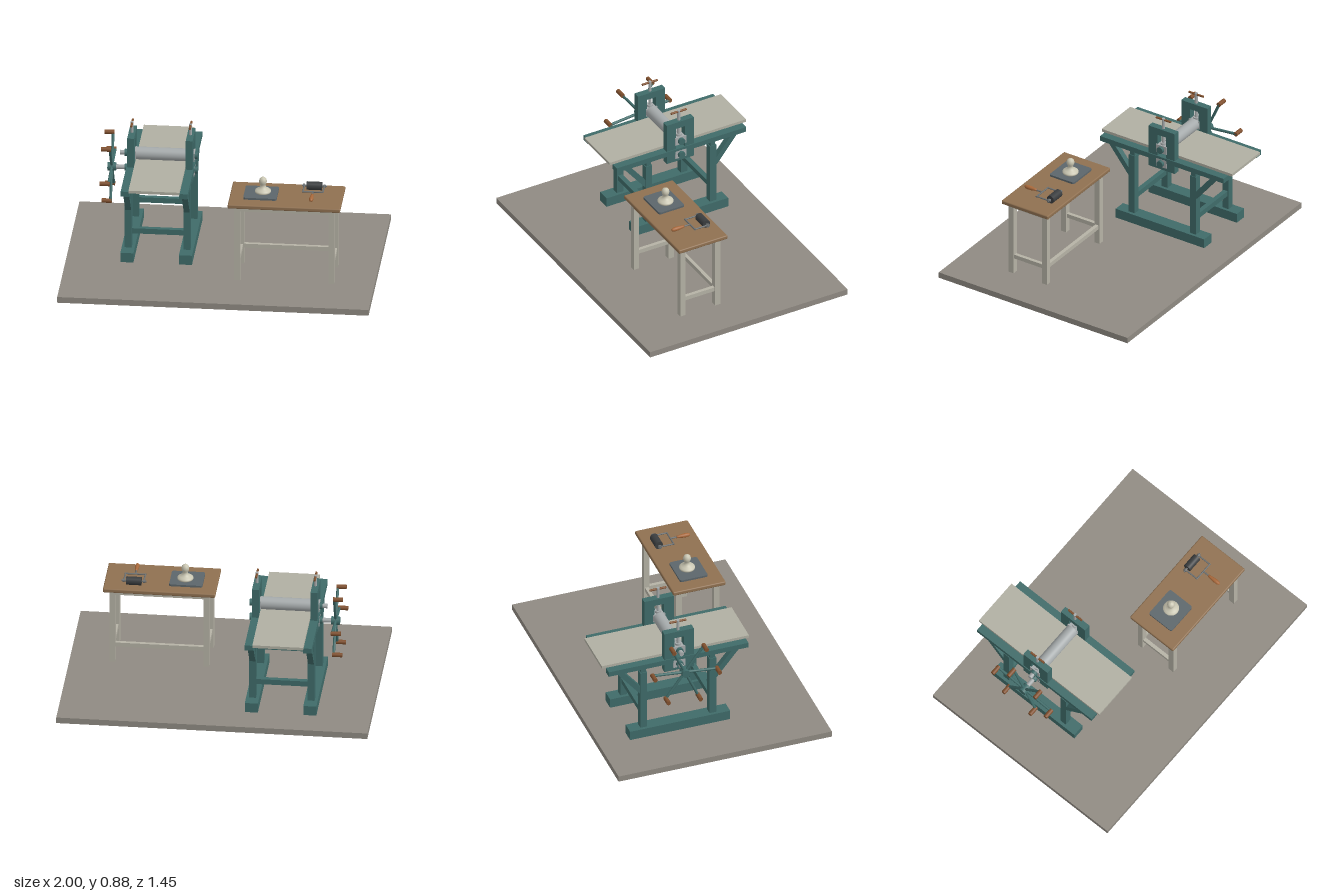
import * as THREE from 'three';
import { RoundedBoxGeometry } from 'three/addons/geometries/RoundedBoxGeometry.js';

const mat = (color) => new THREE.MeshStandardMaterial({ color });

export function createModel() {
  const root = new THREE.Group();
  const teal = mat(0x3f6b69), steel = mat(0xa5aaab), plate = mat(0xb0afa2), wood = mat(0x8f7050);
  const grip = mat(0x80502e), paint = mat(0xb5b2a5), slate = mat(0x5c666b), dark = mat(0x3a3d3f);
  const cream = mat(0xc9c6b2), stone = mat(0x8f8a82), iron = mat(0x6b6f70);

  const group = (name) => {
    const g = new THREE.Group();
    g.name = name;
    root.add(g);
    return g;
  };
  const add = (parent, name, geometry, material, x = 0, y = 0, z = 0) => {
    const m = new THREE.Mesh(geometry, material);
    m.name = name;
    m.position.set(x, y, z);
    parent.add(m);
    return m;
  };
  // Box given by its limits on each axis
  const box = (parent, name, material, [x0, x1], [y0, y1], [z0, z1]) =>
    add(parent, name, new THREE.BoxGeometry(x1 - x0, y1 - y0, z1 - z0), material,
      (x0 + x1) / 2, (y0 + y1) / 2, (z0 + z1) / 2);
  // Round bar between two points
  const rod = (parent, name, material, a, b, r, rEnd = r, sides = 20) => {
    const p = new THREE.Vector3(...a), q = new THREE.Vector3(...b);
    const d = q.clone().sub(p);
    const m = add(parent, name, new THREE.CylinderGeometry(rEnd, r, d.length(), sides), material);
    m.position.copy(p).add(q).multiplyScalar(0.5);
    m.quaternion.setFromUnitVectors(new THREE.Vector3(0, 1, 0), d.normalize());
    return m;
  };

  box(root, 'floor', stone, [-1, 1], [0, 0.04], [-0.725, 0.725]);

  // ---- Etching press ----
  const press = group('press');
  const PX = -0.42, PZ = -0.18, SIDE = 0.188, UPPER = 0.656, LOWER = 0.553;
  const postZ = [PZ + 0.23, PZ - 0.24];

  // Roller cheek: a plate with a tall window for the bearings
  const cheekShape = new THREE.Shape();
  cheekShape.moveTo(-0.1, 0.503).lineTo(0.1, 0.503).lineTo(0.1, 0.8).lineTo(-0.1, 0.8).closePath();
  const windowHole = new THREE.Path();
  windowHole.moveTo(-0.032, 0.53).lineTo(-0.032, 0.753).lineTo(0.032, 0.753).lineTo(0.032, 0.53).closePath();
  cheekShape.holes.push(windowHole);
  const cheekGeo = new THREE.ExtrudeGeometry(cheekShape, { depth: 0.044, bevelEnabled: false });
  cheekGeo.translate(0, 0, -0.022).rotateY(Math.PI / 2);

  for (const s of [-1, 1]) {
    const side = new THREE.Group();
    side.name = s < 0 ? 'rightSideFrame' : 'leftSideFrame';
    press.add(side);
    const x = PX + s * SIDE;
    const span = (w) => [x - w / 2, x + w / 2];
    box(side, 'foot', teal, span(0.084), [0.04, 0.105], [PZ - 0.34, PZ + 0.34]);
    box(side, 'bedRail', teal, span(0.055), [0.563, 0.598], [-0.66, 0.29]);
    add(side, 'cheek', cheekGeo, teal, x, 0, PZ);

    // Posts with diagonal braces out to the rail
    postZ.forEach((z, i) => {
      const dir = i ? -1 : 1;
      box(side, 'post', teal, span(0.045), [0.105, 0.532], [z - 0.023, z + 0.023]);
      box(side, 'postCap', teal, span(0.036), [0.532, 0.563], [z - 0.017, z + 0.017]);
      const brace = add(side, 'brace', new THREE.BoxGeometry(0.038, 0.25, 0.036), teal, x, 0.472, z + dir * 0.083);
      brace.rotation.x = dir * 0.68;
    });

    // Bearing blocks and end caps of both rollers
    for (const y of [UPPER, LOWER]) {
      box(side, 'bearing', steel, span(0.056), [y - 0.028, y + 0.028], [PZ - 0.04, PZ + 0.04]);
      rod(side, 'bearingCap', teal, [x, y, PZ], [x + s * 0.047, y, PZ], 0.023);
    }

    // Pressure screw with its cross handle
    rod(side, 'screwCollar', steel, [x, 0.684, PZ], [x, 0.698, PZ], 0.02);
    rod(side, 'pressureScrew', steel, [x, 0.69, PZ], [x, 0.875, PZ], 0.01);
    rod(side, 'screwHandle', grip, [x, 0.865, PZ - 0.056], [x, 0.865, PZ + 0.056], 0.007);
  }

  // Cross ties between the side frames
  for (const z of postZ) {
    for (const y of [0.22, 0.527]) {
      box(press, 'crossTie', teal, [PX - SIDE, PX + SIDE], [y - 0.018, y + 0.018], [z - 0.016, z + 0.016]);
    }
  }

  box(press, 'bedPlate', plate, [-0.583, -0.257], [0.598, 0.617], [-0.688, 0.312]);
  for (const [name, y, end] of [['upper', UPPER, -0.685], ['lower', LOWER, -0.76]]) {
    rod(press, name + 'Roller', steel, [-0.58, y, PZ], [-0.26, y, PZ], 0.041, 0.041, 40);
    rod(press, name + 'Axle', steel, [end, y, PZ], [-0.2, y, PZ], 0.015);
  }

  // Star wheel: six spokes with wooden grips
  const wheel = new THREE.Group();
  wheel.name = 'starWheel';
  wheel.position.set(-0.738, LOWER, PZ);
  press.add(wheel);
  rod(wheel, 'hub', teal, [-0.027, 0, 0], [0.028, 0, 0], 0.027, 0.027, 24);
  for (let i = 0; i < 6; i++) {
    const a = THREE.MathUtils.degToRad(54 + i * 60);
    const y = 0.22 * Math.sin(a), z = 0.22 * Math.cos(a);
    rod(wheel, 'spoke', teal, [0, 0, 0], [0, y, z], 0.009);
    rod(wheel, 'grip', grip, [-0.056, y, z], [0.008, y, z], 0.0145);
  }

  // ---- Work table ----
  const table = group('table');
  add(table, 'tableTop', new RoundedBoxGeometry(0.722, 0.028, 0.358, 3, 0.008), wood, 0.422, 0.569, 0.21);
  const legX = [0.12, 0.725], legZ = [0.084, 0.34];
  for (const x of legX) {
    for (const z of legZ) {
      box(table, 'leg', paint, [x - 0.019, x + 0.019], [0.04, 0.556], [z - 0.019, z + 0.019]);
    }
    box(table, 'sideApron', paint, [x - 0.012, x + 0.012], [0.522, 0.556], legZ);
    box(table, 'sideStretcher', paint, [x - 0.012, x + 0.012], [0.148, 0.176], legZ);
  }
  for (const z of legZ) box(table, 'longApron', paint, legX, [0.522, 0.556], [z - 0.012, z + 0.012]);
  box(table, 'longStretcher', paint, legX, [0.148, 0.176], [legZ[0] - 0.012, legZ[0] + 0.012]);

  // ---- Ink slab and muller ----
  const inking = group('inkingTools');
  const w = 0.107, d = 0.094, r = 0.015;
  const slab = new THREE.Shape();
  slab.absarc(w - r, d - r, r, 0, Math.PI / 2);
  slab.absarc(-w + r, d - r, r, Math.PI / 2, Math.PI);
  slab.absarc(-w + r, -d + r, r, Math.PI, Math.PI * 1.5);
  slab.absarc(w - r, -d + r, r, Math.PI * 1.5, Math.PI * 2);
  const slabGeo = new THREE.ExtrudeGeometry(slab, { depth: 0.013, bevelEnabled: false, curveSegments: 6 });
  add(inking, 'inkSlab', slabGeo.rotateX(-Math.PI / 2), slate, 0.259, 0.583, 0.206);

  const knob = [[0, 0], [0.05, 0], [0.052, 0.006], [0.05, 0.014], [0.038, 0.022], [0.024, 0.031], [0.018, 0.042],
    [0.017, 0.05], [0.02, 0.058], [0.024, 0.068], [0.025, 0.08], [0.021, 0.094], [0.012, 0.102], [0, 0.105]]
    .map(([x, y]) => new THREE.Vector2(x, y));
  add(inking, 'muller', new THREE.LatheGeometry(knob, 36), cream, 0.27, 0.596, 0.2);

  // ---- Brayer: roller, wire fork and turned handle ----
  const brayer = group('brayer');
  const BX = 0.591, BY = 0.611, BZ = 0.108;
  rod(brayer, 'inkRoller', dark, [BX - 0.049, BY, BZ], [BX + 0.049, BY, BZ], 0.027, 0.027, 32);
  rod(brayer, 'rollerAxle', iron, [BX - 0.08, BY, BZ], [BX + 0.08, BY, BZ], 0.006);
  for (const s of [-1, 1]) {
    rod(brayer, 'axleNut', iron, [BX + s * 0.06, BY, BZ], [BX + s * 0.072, BY, BZ], 0.012);
    rod(brayer, 'forkArm', iron, [BX + s * 0.064, BY, BZ], [BX + s * 0.064, BY, 0.204], 0.005);
  }
  rod(brayer, 'forkBridge', iron, [BX - 0.069, BY, 0.202], [BX + 0.069, BY, 0.202], 0.005);
  rod(brayer, 'tang', iron, [BX, BY, 0.202], [BX, BY, 0.26], 0.005);
  const handle = [[0, 0], [0.008, 0], [0.009, 0.015], [0.013, 0.04], [0.014, 0.062], [0.012, 0.08], [0.007, 0.09], [0, 0.092]]
    .map(([x, y]) => new THREE.Vector2(x, y));
  add(brayer, 'brayerHandle', new THREE.LatheGeometry(handle, 24).rotateX(Math.PI / 2), mat(0xa8683a), BX, BY, 0.245);

  return root;
}
